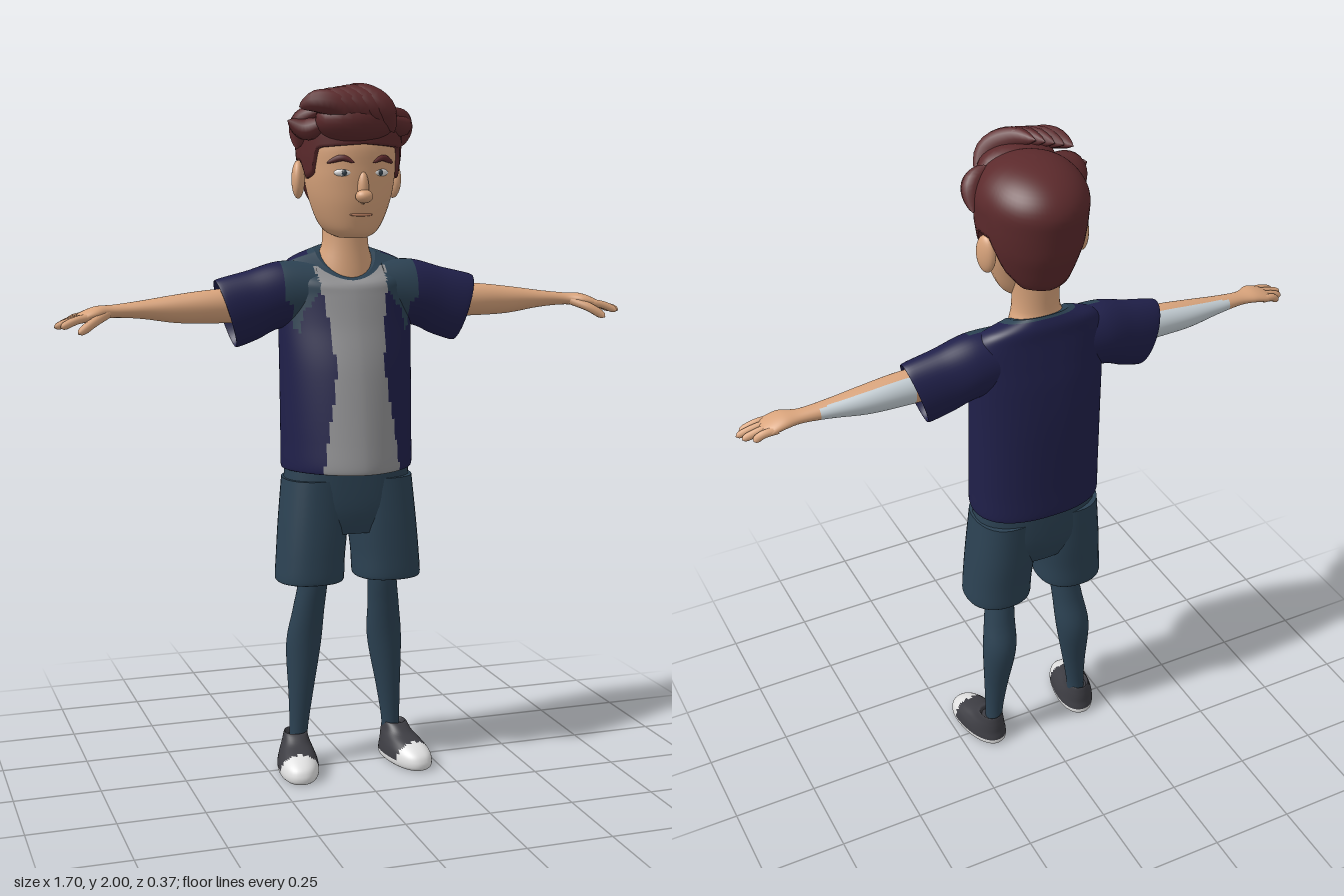
import * as THREE from 'three';

const paint = (name, color) => {
  const m = new THREE.MeshStandardMaterial({ color });
  m.name = name;
  return m;
};

// Piecewise-linear lookup in a short [x, value] table.
function lookup(table, x) {
  for (let i = 1; i < table.length; i++) {
    const [x0, v0] = table[i - 1], [x1, v1] = table[i];
    if (x <= x1) return v0 + (v1 - v0) * Math.max(0, (x - x0) / (x1 - x0));
  }
  return table[table.length - 1][1];
}

// Skin closed rings of points; pick(x, y, z, t) gives each face's material index.
function skin(rings, pick = () => 0) {
  const n = rings[0].length, last = rings.length - 1, pos = rings.flat(2), buckets = [];
  const add = (t, ...ids) => {
    const c = [0, 1, 2].map(k => ids.reduce((s, i) => s + pos[i * 3 + k], 0) / ids.length);
    const b = (buckets[pick(...c, t)] ??= []);
    b.push(ids[0], ids[1], ids[2]);
    if (ids.length === 4) b.push(ids[0], ids[2], ids[3]);
  };
  for (let i = 0; i < last; i++)
    for (let j = 0; j < n; j++) {
      const k = (j + 1) % n;
      add((i + 0.5) / last, i * n + j, (i + 1) * n + j, (i + 1) * n + k, i * n + k);
    }
  for (const end of [0, last]) {
    const base = pos.length / 3, ring = rings[end];
    ring.forEach(p => pos.push(...p));
    pos.push(...[0, 1, 2].map(k => ring.reduce((s, p) => s + p[k], 0) / n));
    for (let j = 0; j < n; j++) {
      const a = base + j, b = base + (j + 1) % n;
      end ? add(1, a, base + n, b) : add(0, a, b, base + n);
    }
  }
  const g = new THREE.BufferGeometry(), index = [];
  buckets.forEach((b, m) => {
    g.addGroup(index.length, b.length, m);
    for (const i of b) index.push(i);
  });
  g.setAttribute('position', new THREE.Float32BufferAttribute(pos, 3));
  g.setIndex(index);
  g.computeVertexNormals();
  return g;
}

// Smooth loft. Section: [height, cx, cz, rx, frontRadius, backRadius, tilt].
function loft(sections, { n = 32, steps = 5, pf = 2, pb = 2, back = 1, sideways = false, pick } = {}) {
  const S = sections.map(s => [...s, ...[s[4], 0].slice(s.length - 5)]), rings = [], m = S.length - 1;
  for (let i = 0; i <= m * steps; i++) {
    const k = Math.min(Math.floor(i / steps), m - 1), t = i / steps - k;
    const [a, b, c, d] = [-1, 0, 1, 2].map(o => S[Math.min(Math.max(k + o, 0), m)]);
    const [h, cx, cz, rx, f, r, tilt] = b.map((v, q) => v + 0.5 * t * (c[q] - a[q]
      + t * (2 * a[q] - 5 * v + 4 * c[q] - d[q] + t * (3 * (v - c[q]) + d[q] - a[q]))));
    rings.push(Array.from({ length: n }, (_, j) => {
      const w = j / n * Math.PI * 2, C = Math.cos(w), Z = Math.sin(w), p = Z > 0 ? pf : pb;
      const x = cx + rx * Math.sign(C) * Math.abs(C) ** (2 / p);
      const dz = (Z > 0 ? f : r) * Math.sign(Z) * Math.abs(Z) ** (2 / p);
      const y = h + tilt * dz * (dz > 0 ? 1 : back);
      return sideways ? [y, cz + dz, x] : [x, y, cz + dz];
    }));
  }
  return skin(rings, pick);
}

// Tube along a curve with its thickness shaped by profile(t).
function strand(points, r, profile) {
  const curve = new THREE.CatmullRomCurve3(points.map(p => new THREE.Vector3(...p)));
  const g = new THREE.TubeGeometry(curve, 14, r, 10), p = g.attributes.position, v = new THREE.Vector3();
  for (let i = 0; i < p.count; i++) {
    const t = Math.floor(i / 11) / 14, c = curve.getPointAt(t);
    v.fromBufferAttribute(p, i).sub(c).multiplyScalar(profile(t)).add(c);
    p.setXYZ(i, v.x, v.y, v.z);
  }
  return g;
}
const fingerTip = t => Math.sqrt(1 - Math.max(0, (t - 0.75) / 0.25) ** 2);
const pointed = t => Math.max(0, Math.sin(Math.PI * t)) ** 0.7;

function ball([x, y, z], [a, b, c], turn = 0) {
  return new THREE.SphereGeometry(1, 24, 16).scale(a, b, c).rotateY(turn).translate(x, y, z);
}

function mirror(geometry) {
  const g = geometry.clone().scale(-1, 1, 1), ix = g.index;
  for (let i = 0; i < ix.count; i += 3) {
    const a = ix.getX(i);
    ix.setX(i, ix.getX(i + 1));
    ix.setX(i + 1, a);
  }
  return g;
}

export function createModel() {
  const model = new THREE.Group();
  const skinTone = paint('skin', 0xd9a47c), hairRed = paint('hair', 0x5c2a2c), navy = paint('navy', 0x20204a);
  const grey = paint('grey shirt', 0x929294), slate = paint('slate', 0x2c4253), charcoal = paint('charcoal', 0x3d3d43);
  const white = paint('white', 0xe2e2e2), pale = paint('pale sleeve', 0xc6d0d6), lip = paint('lip', 0xbd8162);
  const dark = paint('iris', 0x33404a);
  const add = (name, geometry, material) => {
    const mesh = new THREE.Mesh(geometry, material);
    mesh.name = name;
    model.add(mesh);
  };
  const pair = (name, geometry, material) => {
    add(name + 'Left', geometry, material);
    add(name + 'Right', mirror(geometry), material);
  };

  // Jacket over a shirt, with slate shoulder patches and collar
  const panel = [[0.91, 0.115], [1.05, 0.095], [1.2, 0.07], [1.35, 0.085], [1.48, 0.105]];
  const patch = [[0.1, 1.43], [0.13, 1.38], [0.15, 1.37], [0.155, 1.31], [0.175, 1.32], [0.18, 1.39], [0.2, 1.4]];
  const jacket = (x, y, z, t = 0) => {
    x = Math.abs(x);
    if (t > 0.955) return 2;
    if (z > 0 && x < lookup(panel, y)) return 1;
    return z > -0.035 && x < 0.2 && y > lookup(patch, x) ? 2 : 0;
  };
  add('jacket', loft([
    [0.95, 0, -0.02, 0.17, 0.15, 0.11], [0.91, 0, -0.02, 0.193, 0.187, 0.13], [1.0, 0, -0.02, 0.195, 0.18, 0.132],
    [1.2, 0, -0.025, 0.196, 0.155, 0.127], [1.33, 0, -0.03, 0.198, 0.125, 0.115], [1.41, 0, -0.03, 0.2, 0.105, 0.105],
    [1.47, 0, -0.03, 0.198, 0.097, 0.095, -0.35], [1.507, 0, -0.035, 0.165, 0.09, 0.085, -0.65],
    [1.532, 0, -0.035, 0.09, 0.076, 0.07, -1],
  ], { n: 120, steps: 9, pf: 1.75, pb: 2.4, back: 0.3, pick: jacket }), [navy, grey, slate]);
  pair('sleeve', loft([
    [0.1, -0.035, 1.42, 0.075, 0.085, 0.1], [0.2, -0.035, 1.41, 0.075, 0.097, 0.095],
    [0.28, -0.03, 1.387, 0.066, 0.095, 0.1, 0.15], [0.355, -0.024, 1.365, 0.059, 0.095, 0.098, 0.3],
    [0.35, -0.024, 1.365, 0.052, 0.085, 0.088, 0.3], [0.3, -0.024, 1.37, 0.045, 0.06, 0.06, 0.3],
  ], { n: 48, steps: 8, sideways: true, pick: jacket }), [navy, grey, slate]);

  // Arms, with a pale patch along the back of each forearm
  pair('arm', loft([
    [0.28, -0.02, 1.387, 0.045, 0.05, 0.05], [0.4, -0.018, 1.387, 0.045, 0.045, 0.05],
    [0.5, -0.018, 1.385, 0.04, 0.036, 0.044], [0.6, -0.015, 1.383, 0.03, 0.024, 0.027],
    [0.68, -0.01, 1.38, 0.025, 0.018, 0.018], [0.73, 0, 1.376, 0.04, 0.02, 0.018],
    [0.77, 0.002, 1.366, 0.041, 0.016, 0.015], [0.79, 0.004, 1.36, 0.03, 0.008, 0.008],
  ], { n: 40, steps: 8, sideways: true,
    pick: (x, y, z) => +(x > 0.37 && x < 0.63 && z < -0.02 - (y - 1.375) * 0.35) }), [skinTone, pale]);
  [[-0.03, 0.815], [-0.009, 0.84], [0.012, 0.85], [0.031, 0.835]].forEach(([z, tip], i) =>
    pair('finger' + (i + 1), strand([[0.75, 1.369, z], [0.79, 1.362, z + 0.006], [tip, 1.343, z + 0.014]], 0.0115, fingerTip), skinTone));
  pair('thumb', strand([[0.7, 1.375, 0.01], [0.745, 1.355, 0.045], [0.79, 1.326, 0.06]], 0.013, fingerTip), skinTone);

  // Shorts and legs
  add('shortsHips', loft([
    [0.72, 0, -0.015, 0.13, 0.085, 0.09], [0.8, 0, -0.02, 0.185, 0.105, 0.11], [0.94, 0, -0.025, 0.182, 0.11, 0.11],
  ], { pf: 2.4, pb: 2.4 }), slate);
  pair('shortsLeg', loft([
    [0.68, 0.11, -0.01, 0.06, 0.06], [0.6, 0.118, -0.01, 0.088, 0.086], [0.58, 0.119, -0.01, 0.099, 0.1],
    [0.65, 0.115, -0.012, 0.099, 0.103], [0.75, 0.106, -0.016, 0.1, 0.104, 0.108], [0.88, 0.098, -0.02, 0.095, 0.1, 0.11],
  ], { pf: 2.3, pb: 2.3 }), slate);
  pair('leg', loft([
    [0.05, 0.148, -0.04, 0.027, 0.027], [0.12, 0.145, -0.038, 0.028, 0.027], [0.22, 0.138, -0.04, 0.037, 0.034],
    [0.37, 0.127, -0.046, 0.052, 0.049], [0.48, 0.117, -0.026, 0.047, 0.045], [0.58, 0.107, -0.01, 0.044, 0.047],
    [0.7, 0.107, -0.01, 0.055, 0.055],
  ]), slate);

  // Shoes with white soles and toe caps, turned slightly outward
  const shoe = loft([
    [0, 0, 0.03, 0.05, 0.11, 0.108], [0.008, 0, 0.03, 0.058, 0.117, 0.117], [0.025, 0, 0.03, 0.06, 0.117, 0.117],
    [0.045, 0, 0.025, 0.056, 0.11, 0.108], [0.064, 0, 0, 0.048, 0.1, 0.082], [0.082, 0, -0.025, 0.04, 0.065, 0.055],
    [0.105, 0, -0.035, 0.033, 0.035, 0.04], [0.09, 0, -0.035, 0.026, 0.028, 0.03],
  ], { n: 48, steps: 5, pf: 2.3, pb: 2.2, pick: (x, y, z) => +(y < 0.021 || z > 0.082) });
  pair('shoe', shoe.rotateY(0.17).translate(0.163, 0, 0), [charcoal, white]);

  // Neck, head and ears
  add('neck', loft([
    [1.45, 0, -0.035, 0.08, 0.072, 0.065, -0.6], [1.515, 0, -0.035, 0.079, 0.07, 0.063, -0.8],
    [1.555, 0, -0.035, 0.068, 0.062, 0.06, -0.2], [1.61, 0, -0.035, 0.067, 0.06, 0.062], [1.7, 0, -0.035, 0.075, 0.06, 0.07],
  ], { back: 0.3 }), skinTone);
  add('head', loft([
    [1.575, 0, 0.03, 0.04, 0.05, 0.04], [1.59, 0, 0.01, 0.07, 0.088, 0.05], [1.62, 0, 0, 0.093, 0.11, 0.055],
    [1.67, 0, 0, 0.113, 0.122, 0.08], [1.72, 0, 0, 0.125, 0.128, 0.11], [1.77, 0, 0, 0.13, 0.132, 0.13],
    [1.84, 0, 0, 0.13, 0.133, 0.15], [1.91, 0, 0, 0.1, 0.1, 0.12],
  ], { n: 40, pf: 2.15 }), skinTone);
  pair('ear', ball([0.142, 1.737, -0.028], [0.019, 0.054, 0.033], 0.3), skinTone);
  add('noseBridge', ball([0, 1.715, 0.128], [0.016, 0.045, 0.017]), skinTone);
  add('noseTip', ball([0, 1.692, 0.138], [0.025, 0.019, 0.022]), skinTone);
  add('mouth', ball([0, 1.641, 0.112], [0.034, 0.005, 0.006]), lip);
  pair('eye', ball([0.055, 1.757, 0.116], [0.025, 0.011, 0.009], 0.3), white);
  pair('iris', ball([0.053, 1.757, 0.122], [0.008, 0.009, 0.006], 0.3), dark);
  pair('brow', strand([[0.026, 1.783, 0.134], [0.058, 1.797, 0.125], [0.098, 1.783, 0.098]], 0.009, pointed), hairRed);

  // Hair shell with a hairline that dips at the sideburns and nape
  const hairline = [[0, 1.835], [0.95, 1.825], [1.15, 1.75], [1.4, 1.74], [1.5, 1.79], [1.85, 1.79], [2.05, 1.7], [2.4, 1.65], [3.14, 1.64]];
  const sideR = [[1.6, 0.085], [1.7, 0.125], [1.75, 0.14], [1.8, 0.148], [1.86, 0.151]];
  const backR = [[1.6, 0.1], [1.66, 0.135], [1.75, 0.168], [1.86, 0.186]];
  const rings = Array.from({ length: 27 }, (_, i) => Array.from({ length: 72 }, (_, j) => {
    const w = j / 72 * Math.PI * 2, c = Math.cos(w), s = Math.sin(w), low = lookup(hairline, Math.acos(s));
    const y = low + (1.973 - low) * Math.sin(Math.max(0, i - 1) / 26 * Math.PI / 2);
    const k = (i ? 1 : 0.82) * Math.max(0.002, 1 - Math.max(0, (y - 1.86) / 0.113) ** 2) ** 0.45;
    return [c * k * lookup(sideR, y), y, s * k * (s > 0 ? 0.146 : lookup(backR, y))];
  }));
  add('hair', skin(rings), hairRed);

  // Swept quiff and loose locks
  add('quiff', ball([-0.015, 1.9, 0.105], [0.115, 0.068, 0.073]), hairRed);
  for (let i = 0; i < 5; i++) {
    const d = i * 0.028;
    add('quiffLock' + (i + 1), strand([
      [0.09 - d, 1.865 + d * 0.15, 0.13], [0.045 - d, 1.935, 0.155 - d * 0.1],
      [-0.015 - d, 1.972 - d * 0.2, 0.12], [-0.055 - d, 1.975 - d * 0.35, 0.07],
    ], 0.036, pointed), hairRed);
  }
  add('crest', strand([[0.03, 1.93, 0.13], [0.0, 1.975, 0.125], [-0.045, 1.99, 0.1]], 0.02, pointed), hairRed);
  [[[-0.09, 1.9, 0.1], [-0.145, 1.875, 0.07], [-0.192, 1.9, 0.04]],
    [[-0.1, 1.93, 0.07], [-0.15, 1.9, 0.04], [-0.16, 1.82, 0.02]],
    [[0.08, 1.93, 0.08], [0.135, 1.9, 0.06], [0.15, 1.83, 0.03]],
    [[0.08, 1.9, 0.11], [0.125, 1.885, 0.08], [0.16, 1.905, 0.04]]].forEach((p, i) =>
    add('sideLock' + (i + 1), strand(p, 0.03, pointed), hairRed));
  return model;
}
